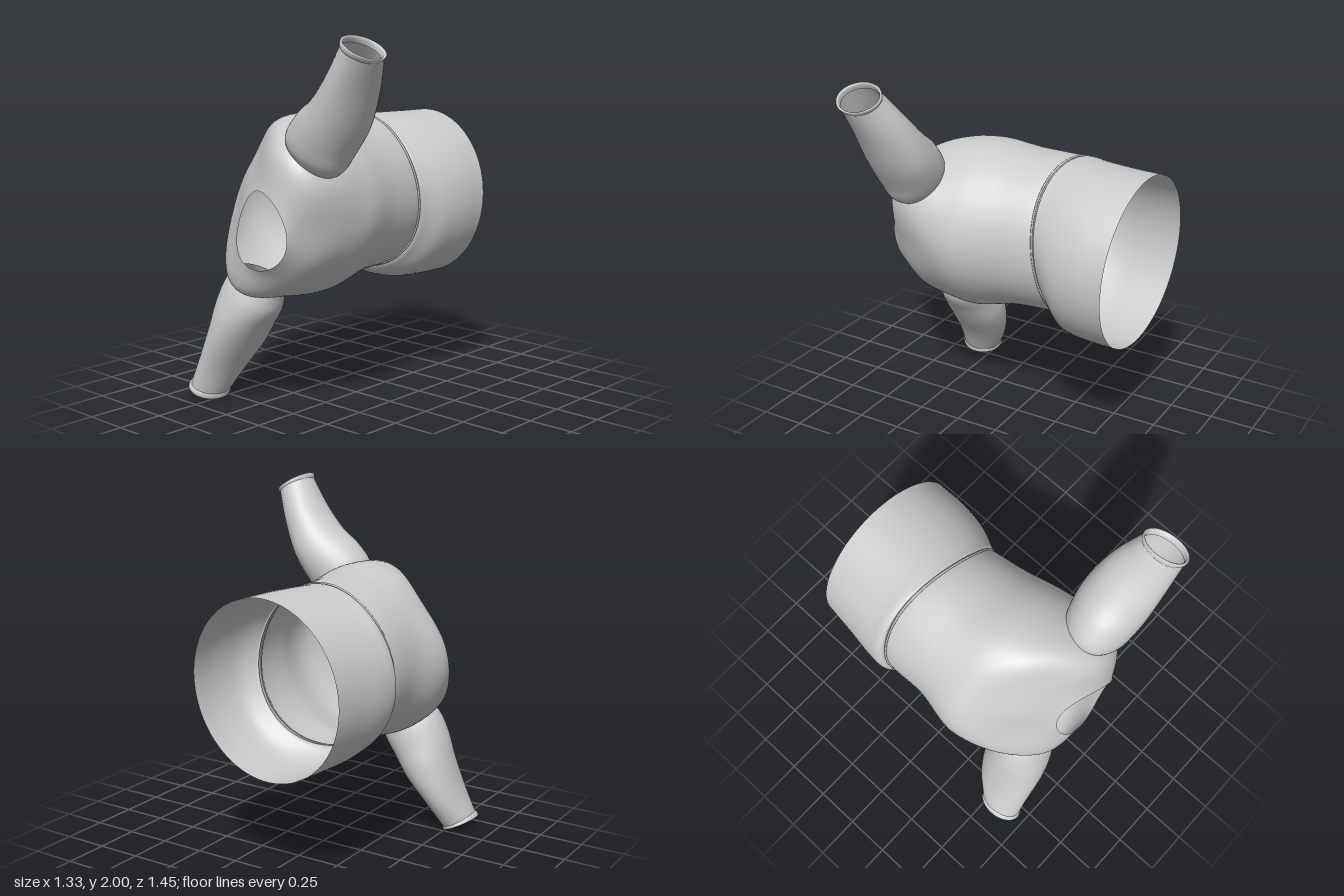
import * as THREE from 'three';

const fabric = new THREE.MeshStandardMaterial({ color: 0xcccccc, side: THREE.DoubleSide });
const TAU = Math.PI * 2;
// direction of the shoulder line in the xy plane
const SHOULDER = new THREE.Vector2(0.518, 0.855);
const PHI = SHOULDER.angle();
// 1 at the two shoulder ends, 0 at chest and back
const along = (a, power = 2) => Math.abs(Math.cos(a - PHI)) ** power;
// 1 on the upper left face, -1 on the lower right face
const across = (a) => Math.sin(a - PHI);

// Smooth open skin through closed rings; each ring maps an angle to a point.
function loft(name, rings, steps, around = 72, skip = () => false) {
  const pos = [], index = [];
  const curves = [];
  for (let j = 0; j < around; j++) {
    curves.push(new THREE.CatmullRomCurve3(rings.map((ring) => ring((j / around) * TAU))));
  }
  const grid = [];
  for (let i = 0; i <= steps; i++) {
    grid.push(curves.map((c) => c.getPoint(i / steps)));
    grid[i].forEach((p) => pos.push(p.x, p.y, p.z));
  }
  for (let i = 0; i < steps; i++) {
    for (let j = 0; j < around; j++) {
      const k = (j + 1) % around;
      const mid = grid[i][j].clone().add(grid[i + 1][k]).multiplyScalar(0.5);
      if (skip(mid)) continue;
      const a = i * around + j, b = i * around + k;
      index.push(a, b, a + around, b, b + around, a + around);
    }
  }
  const g = new THREE.BufferGeometry();
  g.setAttribute('position', new THREE.Float32BufferAttribute(pos, 3));
  g.setIndex(index);
  g.computeVertexNormals();
  const mesh = new THREE.Mesh(g, fabric);
  mesh.name = name;
  return mesh;
}

// Elliptical ring across the body; z and a radius scale may vary with the angle.
const bodyRing = (cx, cy, rx, ry, z, scale = () => 1) => (a) =>
  new THREE.Vector3(
    cx + rx * scale(a) * Math.cos(a),
    cy + ry * scale(a) * Math.sin(a),
    typeof z === 'number' ? z : z(a));

// Elliptical ring across a sleeve that runs in direction t.
const sleeveRing = (x, y, z, r, rz, t, fold = 0) => (a) => {
  const s = 1 + fold * Math.sin(3 * a + y * 9);
  const u = r * s * Math.cos(a);
  return new THREE.Vector3(x - t.y * u, y + t.x * u, z + rz * s * Math.sin(a));
};

// Sleeve stations: x, y, z, half width, half depth
function sleeve(side, stations) {
  const group = new THREE.Group();
  group.name = side + 'Sleeve';
  const dirs = stations.map((s, i) => {
    const p = stations[Math.max(i - 1, 0)], n = stations[Math.min(i + 1, stations.length - 1)];
    return new THREE.Vector2(n[0] - p[0], n[1] - p[1]).normalize();
  });
  const last = stations.length - 1;
  group.add(loft('sleeveTube', stations.map((s, i) => sleeveRing(...s, dirs[i], i < last ? 0.02 : 0)), 36, 48));

  // narrow turned-out cuff band at the opening
  const [x, y, z, r, rz] = stations[last], t = dirs[last];
  const lip = [[-0.028, 0], [-0.022, 0.005], [0, 0.01], [0.004, 0.004], [-0.004, -0.004], [-0.03, -0.006]];
  group.add(loft('cuff', lip.map(([d, o]) =>
    sleeveRing(x + t.x * d, y + t.y * d, z, r + o, rz + o, t)), 10, 48));
  return group;
}

export function createModel() {
  const model = new THREE.Group();
  model.name = 'shirt';

  // armholes: patches of the body left open inside the sleeves
  const armhole = (p) => {
    const x = p.x, y = p.y - 0.99;
    const d = x * SHOULDER.x + y * SHOULDER.y;
    const n = -x * SHOULDER.y + y * SHOULDER.x;
    return Math.abs(d) > 0.42 && ((n - 0.055) / 0.11) ** 2 + ((p.z - 0.49) / 0.09) ** 2 < 1;
  };

  // seam drifts along the body as it goes round
  const seam = (base) => (a) => base + 0.03 * Math.sin(2 * a);
  // chest and back are flattened, the latter more
  const flat = (a) => {
    const c = Math.cos(a - 2.45);
    return 1 - c ** 8 * (0.07 + 0.03 * c);
  };
  // fullness under the left armhole, and drawn-out shoulder ends
  const corner = (a) => 0.1 * Math.max(0, Math.cos(a - 0.5)) ** 12;
  const drawn = (a) => 1 + 0.15 * along(a, 4) + corner(a);

  // body from the seam up over the shoulders to the neck opening
  model.add(loft('body', [
    bodyRing(-0.165, 1.105, 0.405, 0.425, seam(-0.27)),
    bodyRing(-0.165, 1.105, 0.415, 0.435, seam(-0.215)),
    bodyRing(-0.15, 1.105, 0.43, 0.445, 0),
    bodyRing(-0.142, 1.09, 0.482, 0.488, 0.25, flat),
    bodyRing(-0.128, 1.08, 0.445, 0.462,
      (a) => 0.365 + 0.185 * along(a, 3) - 0.03 * across(a), (a) => flat(a) + corner(a)),
    bodyRing(-0.08, 1.04, 0.325, 0.36, (a) => 0.52 + 0.15 * along(a, 3) - 0.035 * across(a), drawn),
    bodyRing(-0.03, 1.01, 0.196, 0.203, (a) => 0.668 + 0.052 * along(a) - 0.022 * across(a)),
  ], 72, 96, armhole));

  // looser band below the seam, open at the hem
  model.add(loft('hemBand', [
    bodyRing(-0.165, 1.105, 0.405, 0.425, seam(-0.246)),
    bodyRing(-0.167, 1.1, 0.425, 0.44, seam(-0.25)),
    bodyRing(-0.168, 1.085, 0.443, 0.455, seam(-0.275)),
    bodyRing(-0.14, 1.066, 0.465, 0.474, -0.37),
    bodyRing(-0.114, 1.06, 0.467, 0.48, -0.52),
    bodyRing(-0.1, 1.06, 0.455, 0.48, (a) => -0.7 + 0.018 * Math.cos(a) - 0.025 * Math.sin(a)),
  ], 40, 96));

  // raised stitching at the seam
  const seamCurve = new THREE.CatmullRomCurve3(
    Array.from({ length: 32 }, (_, i) => bodyRing(-0.165, 1.105, 0.415, 0.435, seam(-0.235))((i / 32) * TAU)), true);
  const stitching = new THREE.Mesh(new THREE.TubeGeometry(seamCurve, 96, 0.006, 6, true), fabric);
  stitching.name = 'waistSeam';
  model.add(stitching);

  model.add(sleeve('left', [
    [0.165, 1.36, 0.505, 0.145, 0.125],
    [0.2, 1.42, 0.515, 0.182, 0.162],
    [0.27, 1.51, 0.515, 0.175, 0.182],
    [0.36, 1.61, 0.517, 0.15, 0.185],
    [0.47, 1.77, 0.54, 0.118, 0.163],
    [0.577, 1.942, 0.585, 0.098, 0.12],
  ]));
  model.add(sleeve('right', [
    [-0.245, 0.69, 0.5, 0.155, 0.13],
    [-0.285, 0.61, 0.505, 0.177, 0.162],
    [-0.347, 0.5, 0.515, 0.163, 0.18],
    [-0.405, 0.38, 0.517, 0.139, 0.185],
    [-0.492, 0.21, 0.54, 0.104, 0.163],
    [-0.571, 0.046, 0.585, 0.092, 0.12],
  ]));
  return model;
}
